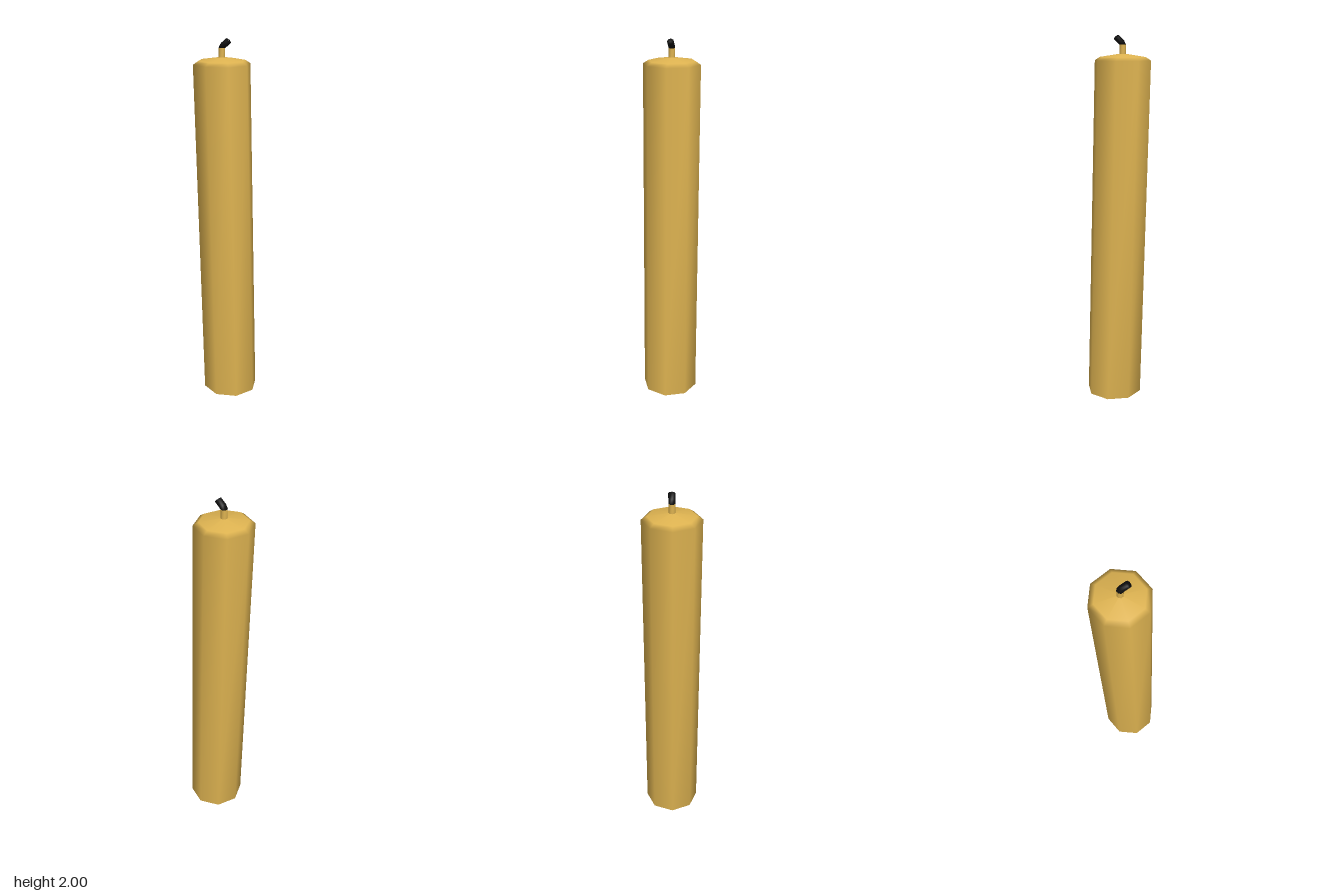
import * as THREE from 'three';

const SIDES = 8;

// Smooth closed loft: each ring is [x, y, radius, tilt about z]; both ends close on a centre point
function loft(rings, sides = SIDES) {
  const pos = [], index = [];
  for (const [x, y, r, tilt = 0] of rings) {
    for (let i = 0; i < sides; i++) {
      const a = (i / sides) * Math.PI * 2;
      const c = Math.cos(a) * r;
      pos.push(x + c * Math.cos(tilt), y + c * Math.sin(tilt), Math.sin(a) * r);
    }
  }
  for (let k = 0; k < rings.length - 1; k++) {
    for (let i = 0; i < sides; i++) {
      const a = k * sides + i, b = k * sides + (i + 1) % sides;
      index.push(a, a + sides, b, b, a + sides, b + sides);
    }
  }
  const g = new THREE.BufferGeometry();
  g.setAttribute('position', new THREE.Float32BufferAttribute(pos, 3));
  g.setIndex(index);
  g.computeVertexNormals();
  return g;
}

export function createModel() {
  const wax = new THREE.MeshStandardMaterial({ color: 0xdfb451 });
  wax.name = 'wax';
  const char = new THREE.MeshStandardMaterial({ color: 0x101010 });
  char.name = 'charredWick';

  const model = new THREE.Group();
  model.name = 'candle';
  const add = (name, rings, material) => {
    const mesh = new THREE.Mesh(loft(rings), material);
    mesh.name = name;
    model.add(mesh);
  };

  // Leaning wax column with a shallow domed top
  add('waxBody', [
    [0.0275, 0, 0.0005],
    [0.0275, 0, 0.153],
    [-0.028, 1.868, 0.153],
    [-0.028, 1.886, 0.125],
    [-0.028, 1.905, 0.0005],
  ], wax);

  // Waxed lower wick
  add('wickBase', [
    [-0.028, 1.88, 0.017],
    [-0.028, 1.952, 0.017],
  ], wax);

  // Burnt wick tip, bent to the side
  const bend = -Math.PI / 4;
  add('wickTip', [
    [-0.028, 1.95, 0.0005],
    [-0.028, 1.95, 0.0178],
    [-0.02, 1.962, 0.0178, bend],
    [0.011, 1.9875, 0.0178, bend],
    [0.011, 1.9875, 0.0005, bend],
  ], char);

  return model;
}
